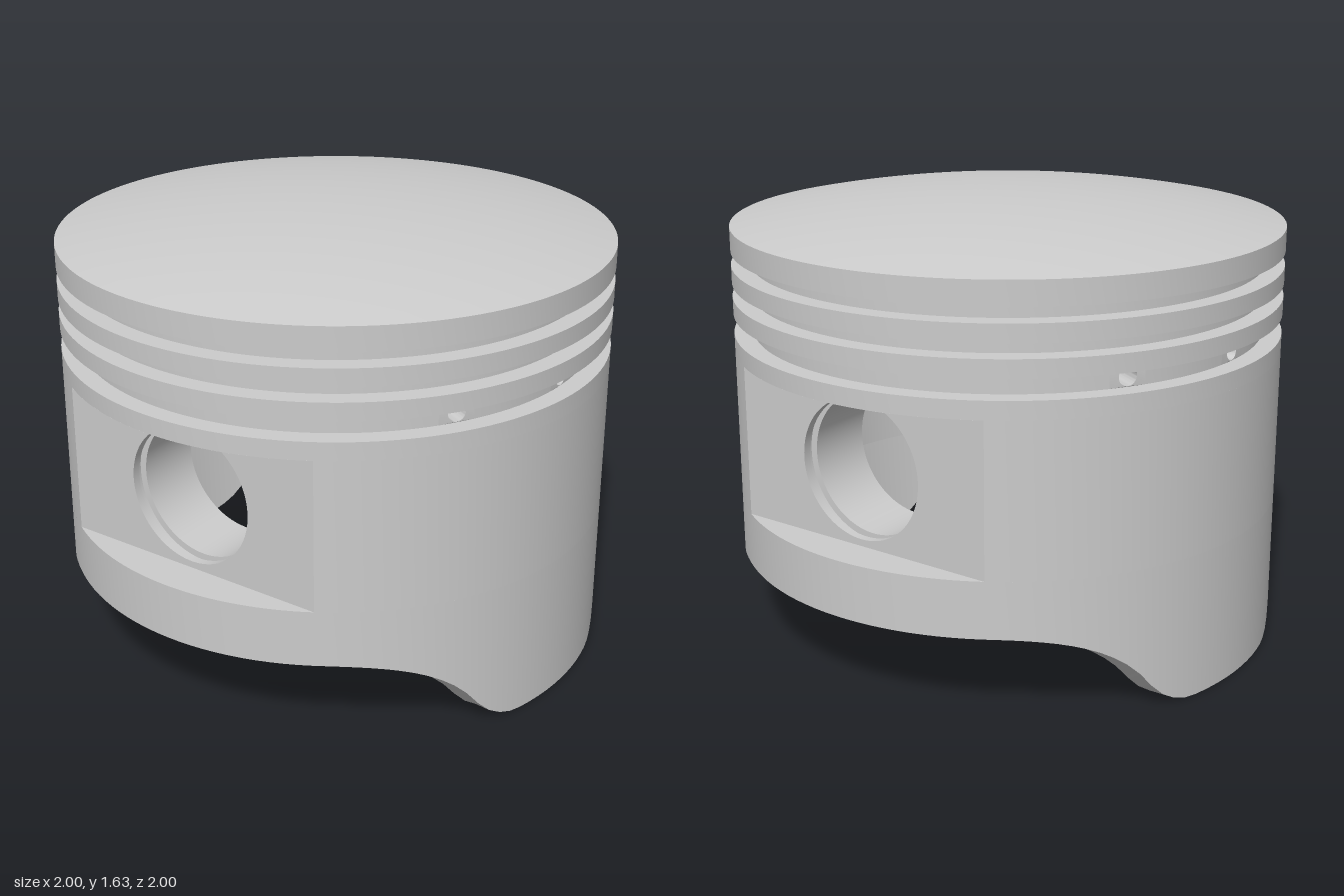
import * as THREE from 'three';
import { toCreasedNormals } from 'three/addons/utils/BufferGeometryUtils.js';

const material = new THREE.MeshStandardMaterial({ color: 0xcccccc, side: THREE.DoubleSide });
const PI = Math.PI;

// Key dimensions
const R = 1, GROOVE_R = 0.93, INNER_R = 0.82, SKIRT_R = 0.92;
const LEDGE_Y = 0.46, CEILING_Y = 1.35;
const POCKET_X = 0.855, POCKET_LOW = 0.525, POCKET_HIGH = 1.073;
const FLAT_X = 0.72, PIN_Y = 0.8, PIN_R = 0.25, BOSS_R = 0.33;
const OIL_LOW = 1.138, OIL_HIGH = 1.208, DRAIN_R = 0.033, PATCH_W = 0.065;
const pocketAngle = Math.asin(POCKET_X / R);
const flatAngle = Math.asin(FLAT_X / INNER_R);

function add(parent, name, geometry) {
  const mesh = new THREE.Mesh(toCreasedNormals(geometry, 0.5), material);
  mesh.name = name;
  parent.add(mesh);
  return mesh;
}

// Revolved strip; angles are measured from +z towards +x
function revolve(points, start = 0, end = 2 * PI) {
  const segments = Math.max(2, Math.round((end - start) / (2 * PI) * 128));
  return new THREE.LatheGeometry(points.map(p => new THREE.Vector2(...p)), segments, start, end - start);
}

// Height of the skirt's lower edge: flat, convex fillet, concave arc, flat
function skirtEdge(x) {
  const a = Math.abs(x);
  if (a < 0.25) return 0;
  if (a < 0.433) return 0.22 - Math.sqrt(0.22 ** 2 - (a - 0.25) ** 2);
  if (a < 0.85) return -0.18 + Math.sqrt(0.25 - (a - 0.85) ** 2);
  return 0.32;
}

// Circle with two flat sides: the plan of the inner cavity
function cavityOutline(target) {
  const a = Math.acos(FLAT_X / INNER_R);
  target.absarc(0, 0, INNER_R, a, PI - a);
  target.absarc(0, 0, INNER_R, PI + a, 2 * PI - a);
  target.closePath();
  return target;
}

// Rectangle with a round hole, centred on its width
function plate(halfWidth, low, high, holeY, holeR) {
  const shape = new THREE.Shape();
  shape.moveTo(-halfWidth, low).lineTo(halfWidth, low).lineTo(halfWidth, high).lineTo(-halfWidth, high);
  shape.closePath();
  shape.holes.push(new THREE.Path().absarc(0, holeY, holeR, 0, 2 * PI, true));
  return shape;
}

// Domed crown with the ring lands above the oil groove
function addCrown(group) {
  const profile = [
    [GROOVE_R, OIL_HIGH], [R, OIL_HIGH], [R, 1.273], [GROOVE_R, 1.273], [GROOVE_R, 1.322],
    [R, 1.322], [R, 1.387], [GROOVE_R, 1.387], [GROOVE_R, 1.438], [R, 1.438], [R, 1.525],
  ];
  const domeR = (1 + 0.11 ** 2) / 0.22;
  for (let i = 15; i >= 0; i--) {
    const r = i / 16;
    profile.push([r, 1.635 - domeR + Math.sqrt(domeR ** 2 - r * r)]);
  }
  add(group, 'crown', revolve(profile));
  add(group, 'lowerLand', revolve([[R, POCKET_HIGH], [R, OIL_LOW], [GROOVE_R, OIL_LOW]]));
}

// Oil groove wall, pierced by three radial drain holes front and back
function addOilGroove(group) {
  const outerGap = Math.asin(PATCH_W / GROOVE_R), innerGap = Math.asin(PATCH_W / INNER_R);
  const outer = [[GROOVE_R, OIL_LOW], [GROOVE_R, OIL_HIGH]];
  const inner = [[INNER_R, OIL_HIGH], [INNER_R, OIL_LOW]];
  const step = PI / 6;
  for (const side of [0, PI]) {
    const half = new THREE.Group();
    half.name = side ? 'backOilGroove' : 'frontOilGroove';
    half.rotation.y = side;
    group.add(half);
    const stops = [-step, 0, step];
    for (const angle of stops) {
      const shape = plate(PATCH_W, OIL_LOW, OIL_HIGH, (OIL_LOW + OIL_HIGH) / 2, DRAIN_R);
      const geo = new THREE.ExtrudeGeometry(shape, { depth: GROOVE_R - INNER_R, bevelEnabled: false, curveSegments: 24 });
      const p = geo.attributes.position;
      for (let i = 0; i < p.count; i++) {
        p.setZ(i, Math.sqrt((INNER_R + p.getZ(i)) ** 2 - p.getX(i) ** 2));
      }
      add(half, 'drainHole', geo).rotation.y = angle;
    }
    for (const a of [-step, 0]) {
      add(half, 'grooveWall', revolve(outer, a + outerGap, a + step - outerGap));
      add(half, 'innerBand', revolve(inner, a + innerGap, a + step - innerGap));
    }
    add(half, 'grooveWall', revolve(outer, step + outerGap, PI - step - outerGap));
    add(half, 'innerBand', revolve(inner, step + innerGap, flatAngle));
    add(half, 'innerBand', revolve(inner, -flatAngle, -step - innerGap));
  }
}

// Skirt with the shaped lower edge, upper walls and inner cavity
function addSkirt(group) {
  const skirt = revolve([[SKIRT_R, LEDGE_Y], [SKIRT_R, 0], [R, 0], [R, POCKET_LOW]]);
  const p = skirt.attributes.position;
  for (let i = 0; i < p.count; i++) if (p.getY(i) === 0) p.setY(i, skirtEdge(p.getX(i)));
  add(group, 'skirt', skirt);

  for (const side of [0, PI]) {
    add(group, 'upperWall', revolve([[R, POCKET_LOW], [R, POCKET_HIGH]], side - pocketAngle, side + pocketAngle));
    add(group, 'innerWall', revolve([[INNER_R, OIL_LOW], [INNER_R, LEDGE_Y]], side - flatAngle, side + flatAngle));
    add(group, 'innerWallTop', revolve([[INNER_R, CEILING_Y], [INNER_R, OIL_HIGH]], side - flatAngle, side + flatAngle));
  }

  const ledge = new THREE.Shape().absarc(0, 0, SKIRT_R, 0, 2 * PI);
  ledge.holes.push(cavityOutline(new THREE.Path()));
  add(group, 'innerLedge', new THREE.ShapeGeometry(ledge, 64).rotateX(PI / 2).translate(0, LEDGE_Y, 0));
  add(group, 'cavityCeiling', new THREE.ShapeGeometry(cavityOutline(new THREE.Shape()), 64)
    .rotateX(PI / 2).translate(0, CEILING_Y, 0));
}

// Side pocket with the pin bore and its inner boss, built on +x
function createPinSide(name) {
  const side = new THREE.Group();
  side.name = name;
  const pocketHalf = Math.sqrt(R * R - POCKET_X ** 2);
  const flatHalf = Math.sqrt(INNER_R ** 2 - FLAT_X ** 2);

  const face = plate(pocketHalf, POCKET_LOW, POCKET_HIGH, PIN_Y, PIN_R);
  add(side, 'pocketFace', new THREE.ShapeGeometry(face, 64).rotateY(PI / 2).translate(POCKET_X, 0, 0));
  const flat = plate(flatHalf, LEDGE_Y, CEILING_Y, PIN_Y, BOSS_R);
  add(side, 'innerFlat', new THREE.ShapeGeometry(flat, 64).rotateY(-PI / 2).translate(FLAT_X, 0, 0));

  const a = PI / 2 - pocketAngle;
  const segment = new THREE.Shape().absarc(0, 0, R, -a, a);
  add(side, 'pocketFloor', new THREE.ShapeGeometry(segment, 32).rotateX(-PI / 2).translate(0, POCKET_LOW, 0));
  add(side, 'pocketCeiling', new THREE.ShapeGeometry(segment, 32).rotateX(PI / 2).translate(0, POCKET_HIGH, 0));

  // Bore with a retaining-ring groove, then the rounded boss end
  const profile = [
    [PIN_R, POCKET_X], [PIN_R, 0.825], [0.275, 0.825], [0.275, 0.79], [PIN_R, 0.79], [PIN_R, 0.55],
  ];
  const round = 0.04;
  for (let i = 0; i <= 6; i++) {
    const t = i / 6 * PI / 2;
    profile.push([BOSS_R - round + round * Math.sin(t), 0.55 + round - round * Math.cos(t)]);
  }
  profile.push([BOSS_R, FLAT_X]);
  add(side, 'pinBoss', revolve(profile).rotateZ(-PI / 2).translate(0, PIN_Y, 0));
  return side;
}

export function createModel() {
  const group = new THREE.Group();
  group.name = 'piston';
  addCrown(group);
  addOilGroove(group);
  addSkirt(group);
  const left = createPinSide('leftPinSide');
  const right = createPinSide('rightPinSide');
  right.rotation.y = PI;
  group.add(left, right);
  return group;
}
